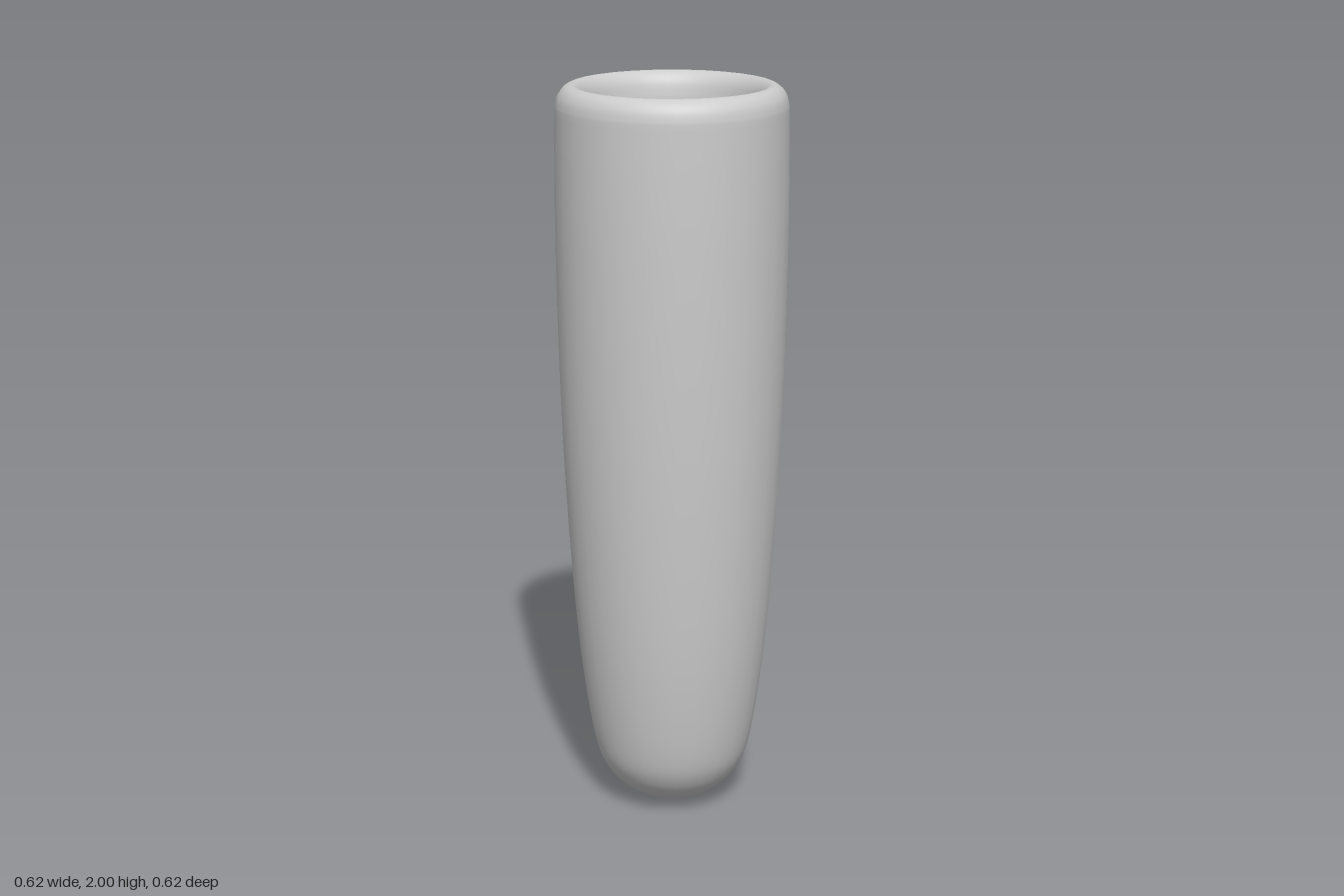
import * as THREE from 'three';

const SEGMENTS = 32;

// Smooth curve through [radius, height] points
function smoothProfile(points, divisions) {
  const curve = new THREE.SplineCurve(points.map(([r, y]) => new THREE.Vector2(r, y)));
  const result = curve.getPoints(divisions);
  result.forEach((p) => { p.x = Math.max(p.x, 0); });
  return result;
}

export function createModel() {
  const group = new THREE.Group();
  group.name = 'roundBottomTube';
  const material = new THREE.MeshStandardMaterial({ color: 0xcccccc, side: THREE.DoubleSide });

  // Outer wall, from the rounded tip up to the shoulder
  const outer = smoothProfile([
    [0, 0], [0.07, 0.01], [0.135, 0.046], [0.185, 0.1], [0.218, 0.19], [0.25, 0.4],
    [0.273, 0.65], [0.293, 0.98], [0.304, 1.3], [0.309, 1.6], [0.309, 1.8], [0.307, 1.94],
  ], 60);

  // Rolled rim, from the shoulder over the top into the mouth
  const rim = smoothProfile([
    [0.307, 1.94], [0.301, 1.968], [0.286, 1.99], [0.264, 2], [0.245, 1.99], [0.231, 1.967], [0.224, 1.93],
  ], 20);

  // Hollow inside, tapering down to a rounded floor
  const inner = smoothProfile([
    [0.224, 1.93], [0.219, 1.8], [0.219, 1.6], [0.215, 1.3], [0.205, 0.98], [0.188, 0.65],
    [0.168, 0.4], [0.145, 0.23], [0.115, 0.155], [0.065, 0.11], [0, 0.095],
  ], 60);

  const profile = [...outer, ...rim.slice(1), ...inner.slice(1)];
  const tube = new THREE.Mesh(new THREE.LatheGeometry(profile, SEGMENTS), material);
  tube.name = 'tubeBody';
  group.add(tube);

  return group;
}
